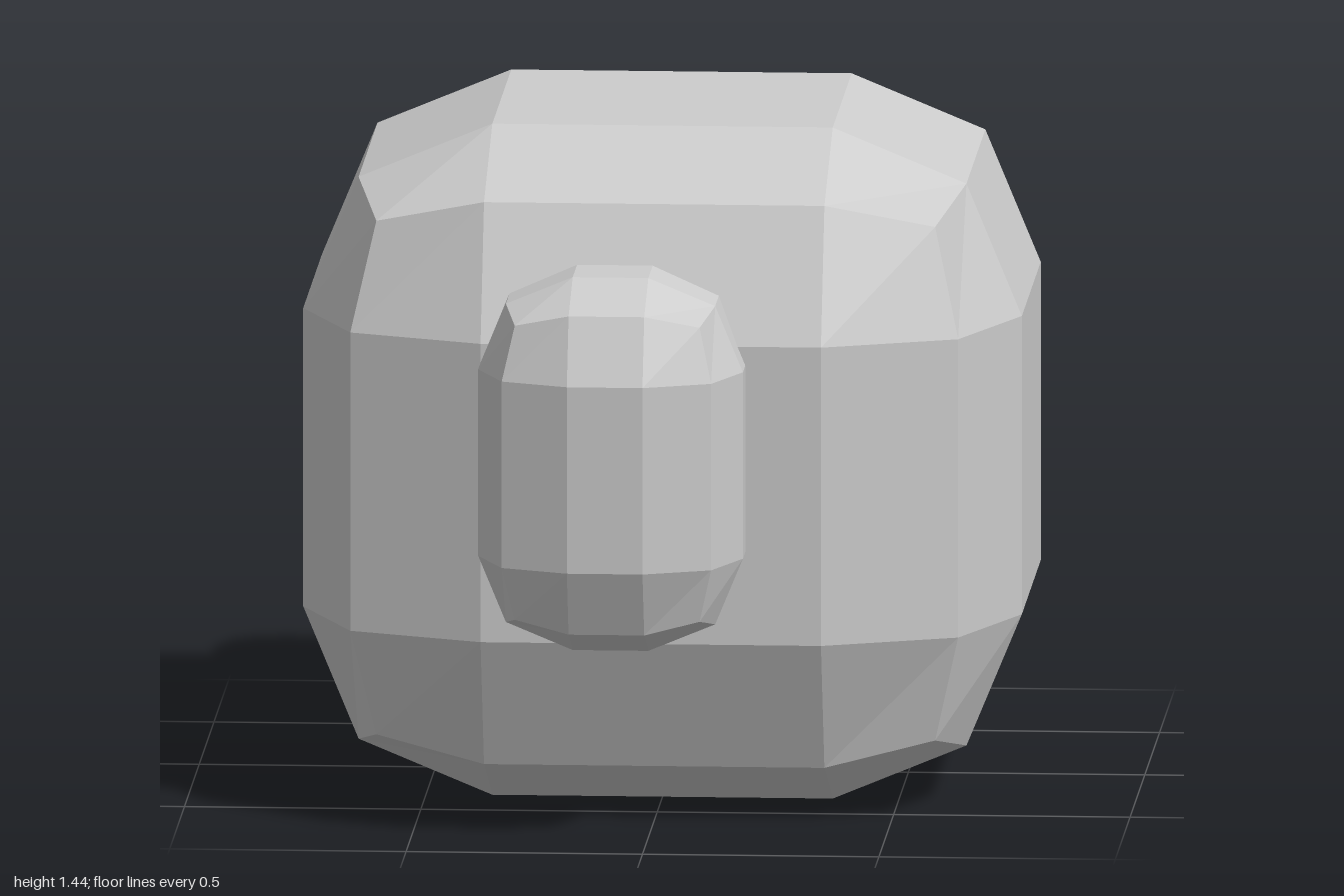
import * as THREE from 'three';
import { RoundedBoxGeometry } from 'three/addons/geometries/RoundedBoxGeometry.js';

export function createModel() {
  const model = new THREE.Group();
  model.name = 'chamferedBlock';

  const grey = new THREE.MeshStandardMaterial({ color: 0xcccccc, flatShading: true });
  grey.name = 'light grey';

  // One segment per rounded edge gives the faceted, two-step corners
  function block(name, [w, h, d], radius, [x, y, z]) {
    const mesh = new THREE.Mesh(new RoundedBoxGeometry(w, h, d, 1, radius), grey);
    mesh.name = name;
    mesh.position.set(x, y, z);
    model.add(mesh);
  }

  // Large main body
  block('body', [1.52, 1.44, 1.44], 0.4, [0, 0.72, 0]);

  // Matching knobs set into the front and back faces, slightly off centre
  for (const side of [1, -1]) {
    block(side > 0 ? 'frontKnob' : 'backKnob', [0.56, 0.8, 0.8], 0.2, [-0.08, 0.8, side * 0.6]);
  }

  return model;
}
